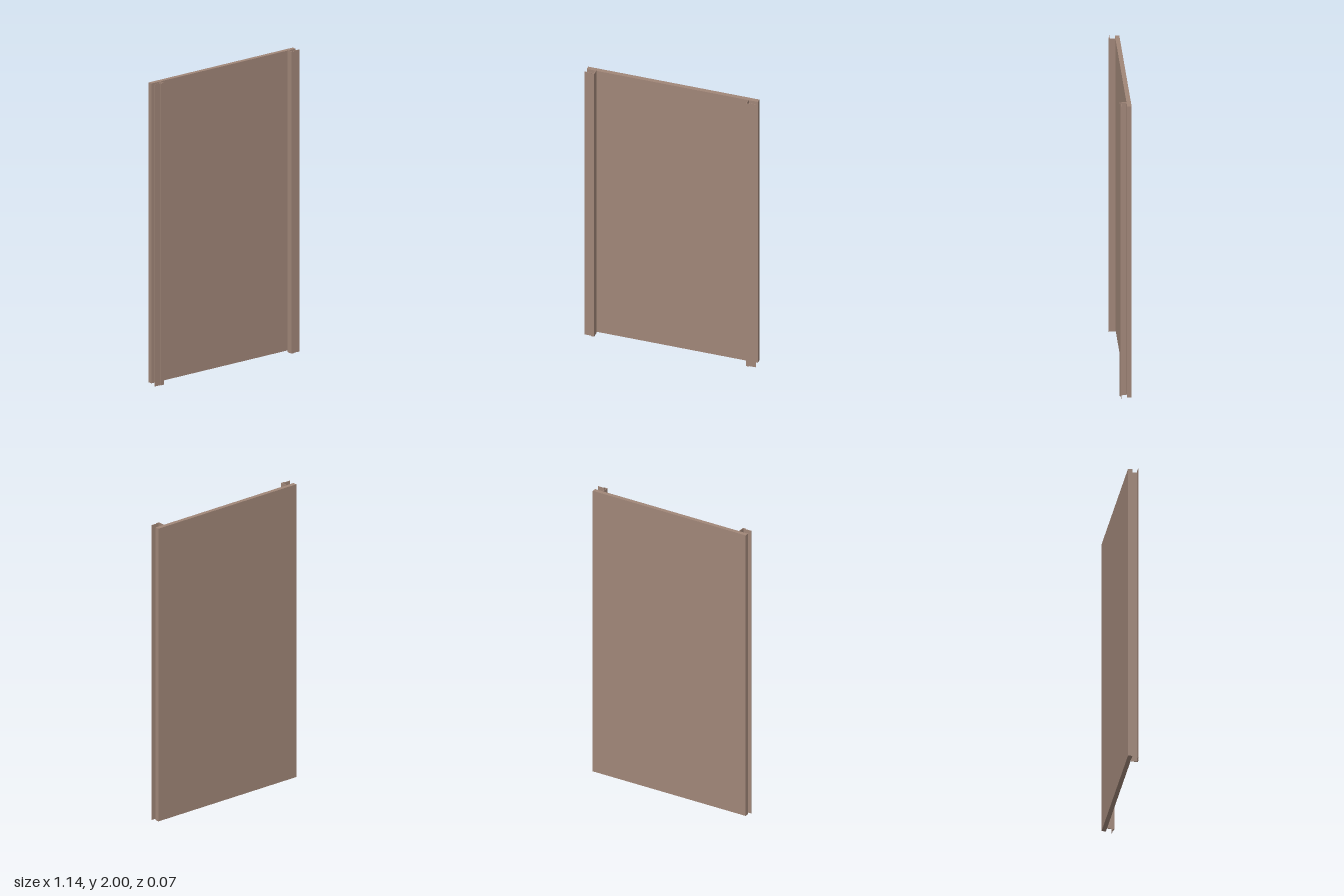
import * as THREE from 'three';

// Closed outline of the right-angled rail section as [x, z] points
const RAIL = [
  [0.503, -0.01], [0.508, -0.01], [0.508, 0.031], [0.521, 0.031], [0.521, 0.025],
  [0.568, 0.025], [0.568, 0.028], [0.525, 0.028], [0.525, 0.034], [0.503, 0.034],
];

// Full-height rail extruded upwards; side is +1 (left) or -1 (right)
function makeRail(side, material) {
  const shape = new THREE.Shape(RAIL.map(([x, z]) => new THREE.Vector2(side * x, -z)));
  const geometry = new THREE.ExtrudeGeometry(shape, { depth: 2, bevelEnabled: false });
  geometry.rotateX(-Math.PI / 2);
  const rail = new THREE.Mesh(geometry, material);
  rail.name = side > 0 ? 'leftRail' : 'rightRail';
  return rail;
}

export function createModel() {
  const group = new THREE.Group();
  group.name = 'panelWithRails';
  const brown = new THREE.MeshStandardMaterial({ color: 0xa08678 });
  brown.name = 'warm brown';

  // Flat panel, slightly shorter than the rails
  const panel = new THREE.Mesh(new THREE.BoxGeometry(1.134, 1.986, 0.028), brown);
  panel.name = 'panel';
  panel.position.set(0, 1.003, -0.024);
  group.add(panel);

  // Stepped rails on the front face
  for (const side of [1, -1]) group.add(makeRail(side, brown));

  return group;
}
